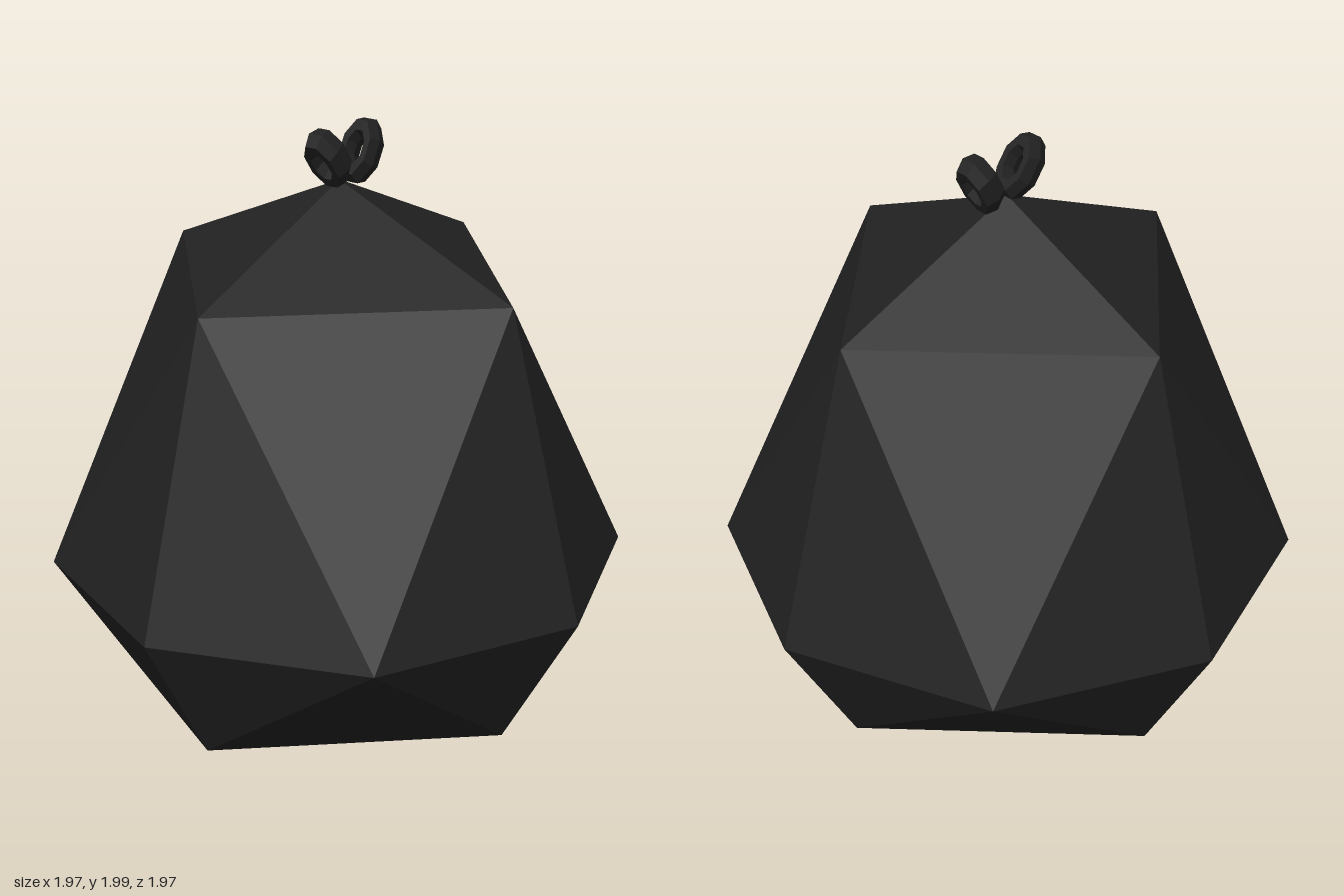
import * as THREE from 'three';

export function createModel() {
  const group = new THREE.Group();
  group.name = 'tiedSack';
  const black = new THREE.MeshStandardMaterial({ color: 0x222222, flatShading: true });
  black.name = 'black plastic';

  // Sack: subdivided octahedron, each level moved to its own height and radius
  const levels = [
    { y: 0, r: 0 },       // centre of the flat base
    { y: 0, r: 0.7 },     // base corners
    { y: 0.49, r: 0.985 }, // widest ring
    { y: 1.51, r: 0.7 },  // shoulders
    { y: 1.81, r: 0 },    // gathered peak
  ];
  const sackGeo = new THREE.OctahedronGeometry(1, 1);
  const pos = sackGeo.attributes.position;
  for (let i = 0; i < pos.count; i++) {
    const x = pos.getX(i), z = pos.getZ(i);
    const elevation = Math.asin(THREE.MathUtils.clamp(pos.getY(i), -1, 1));
    const { y, r } = levels[Math.round(elevation / (Math.PI / 4)) + 2];
    const len = Math.hypot(x, z) || 1;
    pos.setXYZ(i, (x / len) * r, y, (z / len) * r);
  }
  sackGeo.computeVertexNormals();
  const sack = new THREE.Mesh(sackGeo, black);
  sack.name = 'sack';
  group.add(sack);

  // Knot: two stretched faceted loops leaning apart
  const loopGeo = new THREE.TorusGeometry(0.047, 0.022, 6, 8);
  loopGeo.rotateZ(Math.PI / 8);
  loopGeo.scale(1, 1.72, 2.2);
  loopGeo.rotateY(Math.PI / 2);
  const addLoop = (name, x, y, tilt) => {
    const loop = new THREE.Mesh(loopGeo, black);
    loop.name = name;
    loop.position.set(x, y, 0);
    loop.rotation.z = tilt;
    group.add(loop);
  };
  addLoop('leftKnotLoop', 0.113, 1.885, -0.48);
  addLoop('rightKnotLoop', -0.06, 1.893, 0.62);

  return group;
}
